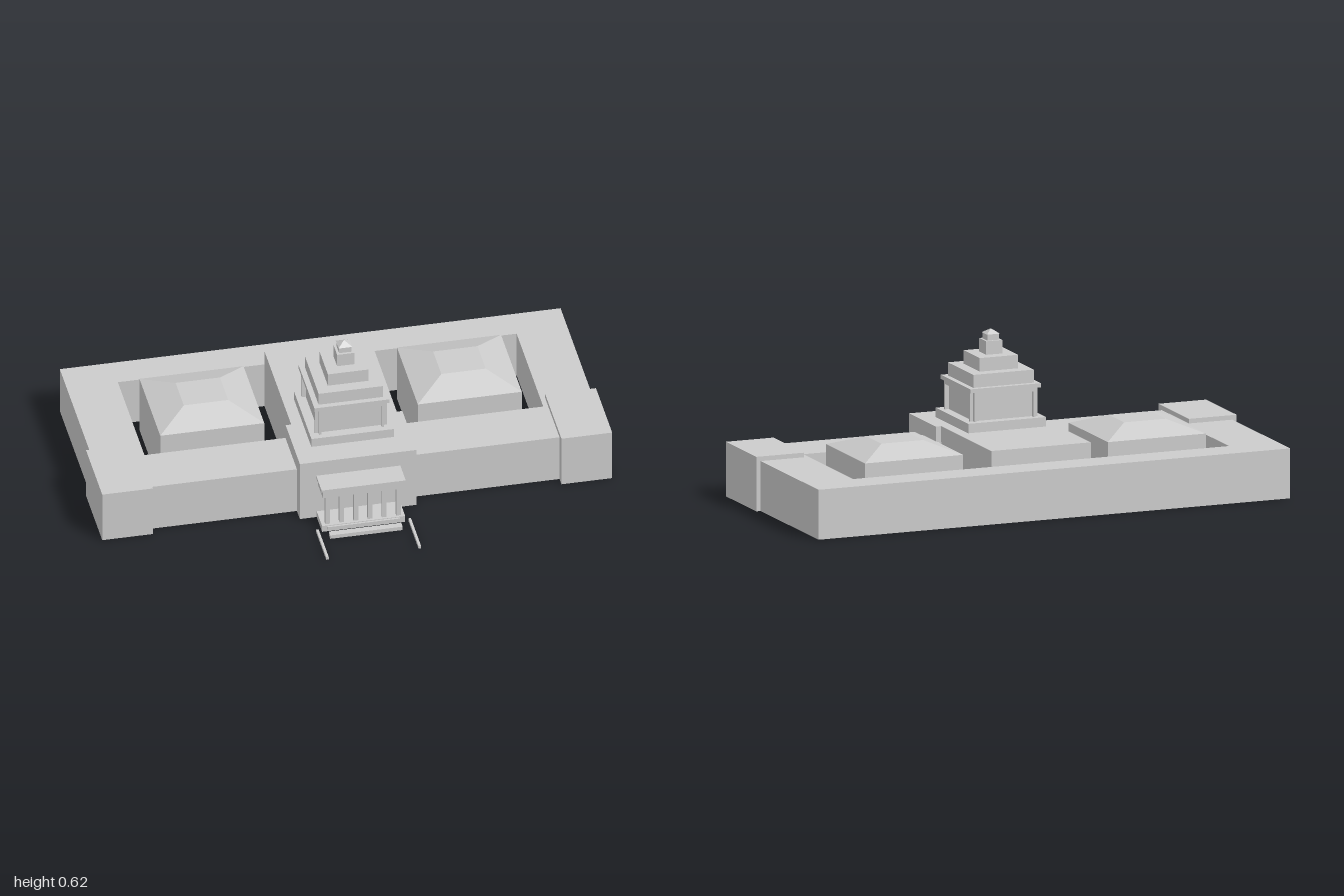
import * as THREE from 'three';

const stone = new THREE.MeshStandardMaterial({ color: 0xcccccc, side: THREE.DoubleSide });
stone.name = 'grey stone';

// Drops zero-area triangles and, for open shells, the faces that look straight down.
function clean(geometry, open) {
  const p = geometry.toNonIndexed().getAttribute('position');
  const out = [];
  const tri = new THREE.Triangle();
  const n = new THREE.Vector3();
  for (let i = 0; i < p.count; i += 3) {
    tri.setFromAttributeAndIndices(p, i, i + 1, i + 2);
    if (tri.getArea() < 1e-8) continue;
    tri.getNormal(n);
    if (open && n.y < -0.9) continue;
    for (const v of [tri.a, tri.b, tri.c]) out.push(v.x, v.y, v.z);
  }
  const g = new THREE.BufferGeometry();
  g.setAttribute('position', new THREE.Float32BufferAttribute(out, 3));
  g.computeVertexNormals();
  return g;
}

// Box between limits; its top edges can be drawn inwards to form a hipped roof.
function block(parent, name, [x0, x1], [y0, y1], [z0, z1], { open = false, inset = 0 } = {}) {
  const w = x1 - x0, h = y1 - y0, d = z1 - z0;
  const g = new THREE.BoxGeometry(w, h, d);
  const p = g.getAttribute('position');
  for (let i = 0; i < p.count; i++) {
    if (p.getY(i) > 0) {
      p.setX(i, Math.sign(p.getX(i)) * (w / 2 - inset));
      p.setZ(i, Math.sign(p.getZ(i)) * (d / 2 - inset));
    }
  }
  const mesh = new THREE.Mesh(clean(g, open), stone);
  mesh.name = name;
  mesh.position.set((x0 + x1) / 2, (y0 + y1) / 2, (z0 + z1) / 2);
  parent.add(mesh);
  return mesh;
}

function rect(path, x0, x1, y0, y1) {
  path.moveTo(x0, y0);
  path.lineTo(x1, y0);
  path.lineTo(x1, y1);
  path.lineTo(x0, y1);
  path.closePath();
  return path;
}

function group(parent, name) {
  const g = new THREE.Group();
  g.name = name;
  parent.add(g);
  return g;
}

export function createModel() {
  const model = new THREE.Group();
  model.name = 'building';
  const open = { open: true };

  // Perimeter wings around the open courtyards
  const plan = rect(new THREE.Shape(), -0.982, 0.982, -0.249, 0.59);
  plan.holes.push(rect(new THREE.Path(), -0.782, 0.782, -0.036, 0.459));
  const ring = new THREE.ExtrudeGeometry(plan, { depth: 0.196, bevelEnabled: false });
  ring.rotateX(-Math.PI / 2);
  const wings = new THREE.Mesh(clean(ring, true), stone);
  wings.name = 'perimeterWings';
  model.add(wings);

  // Central wing and entrance pavilion
  block(model, 'centralWing', [-0.207, 0.207], [0, 0.258], [-0.458, 0.039], open);
  block(model, 'entrancePavilion', [-0.229, 0.229], [0, 0.258], [0.039, 0.304], open);

  // Corner pavilions and hipped courtyard halls
  for (const s of [-1, 1]) {
    const side = s < 0 ? 'right' : 'left';
    const span = (a, b) => (s > 0 ? [a, b] : [-b, -a]);
    block(model, side + 'CornerPavilion', span(0.801, 1), [0, 0.214], [-0.017, 0.285], open);
    const hall = group(model, side + 'CourtyardHall');
    block(hall, 'hallWalls', span(0.301, 0.709), [0, 0.24], [-0.403, -0.016], open);
    block(hall, 'hallRoof', span(0.301, 0.709), [0.24, 0.285], [-0.403, -0.016], { open: true, inset: 0.117 });
  }

  // Stepped tower
  const tower = group(model, 'tower');
  tower.position.z = 0.039;
  const tiers = [
    ['towerPlinth', 0.162, 0.258, 0.295],
    ['towerCore', 0.125, 0.295, 0.41],
    ['towerCornice', 0.147, 0.41, 0.426],
    ['lowerTier', 0.126, 0.426, 0.477],
    ['middleTier', 0.08, 0.477, 0.53],
    ['upperTier', 0.034, 0.53, 0.583],
    ['lantern', 0.024, 0.583, 0.607],
  ];
  for (const [name, r, y0, y1] of tiers) block(tower, name, [-r, r], [y0, y1], [-r, r]);
  block(tower, 'lanternRoof', [-0.027, 0.027], [0.607, 0.625], [-0.027, 0.027], { inset: 0.027 });

  // Raised frame on each face of the tower
  for (let i = 0; i < 4; i++) {
    const frame = group(tower, 'towerFrame');
    frame.rotation.y = (i * Math.PI) / 2;
    for (const s of [-1, 1]) {
      const c = s * 0.1225;
      block(frame, 'framePier', [c - 0.0045, c + 0.0045], [0.295, 0.395], [0.125, 0.141]);
    }
    block(frame, 'frameLintel', [-0.127, 0.127], [0.395, 0.41], [0.125, 0.141]);
  }

  // Columned porch
  const porch = group(model, 'porch');
  block(porch, 'porchFloor', [-0.163, 0.163], [0, 0.027], [0.304, 0.405]);
  block(porch, 'porchBeam', [-0.158, 0.158], [0.151, 0.184], [0.304, 0.397]);
  block(porch, 'porchRoof', [-0.165, 0.165], [0.184, 0.194], [0.304, 0.405]);
  for (let i = 0; i < 6; i++) {
    const x = -0.139 + i * 0.0556;
    block(porch, 'column', [x - 0.009, x + 0.009], [0.027, 0.151], [0.379, 0.395]);
  }

  // Front steps and low walkway kerbs
  block(porch, 'upperStep', [-0.142, 0.142], [0.012, 0.024], [0.405, 0.413]);
  block(porch, 'lowerStep', [-0.142, 0.142], [0, 0.016], [0.43, 0.457]);
  for (const s of [-1, 1]) {
    block(porch, 'kerb', [s * 0.181 - 0.005, s * 0.181 + 0.005], [0, 0.012], [0.402, 0.59]);
  }
  return model;
}
